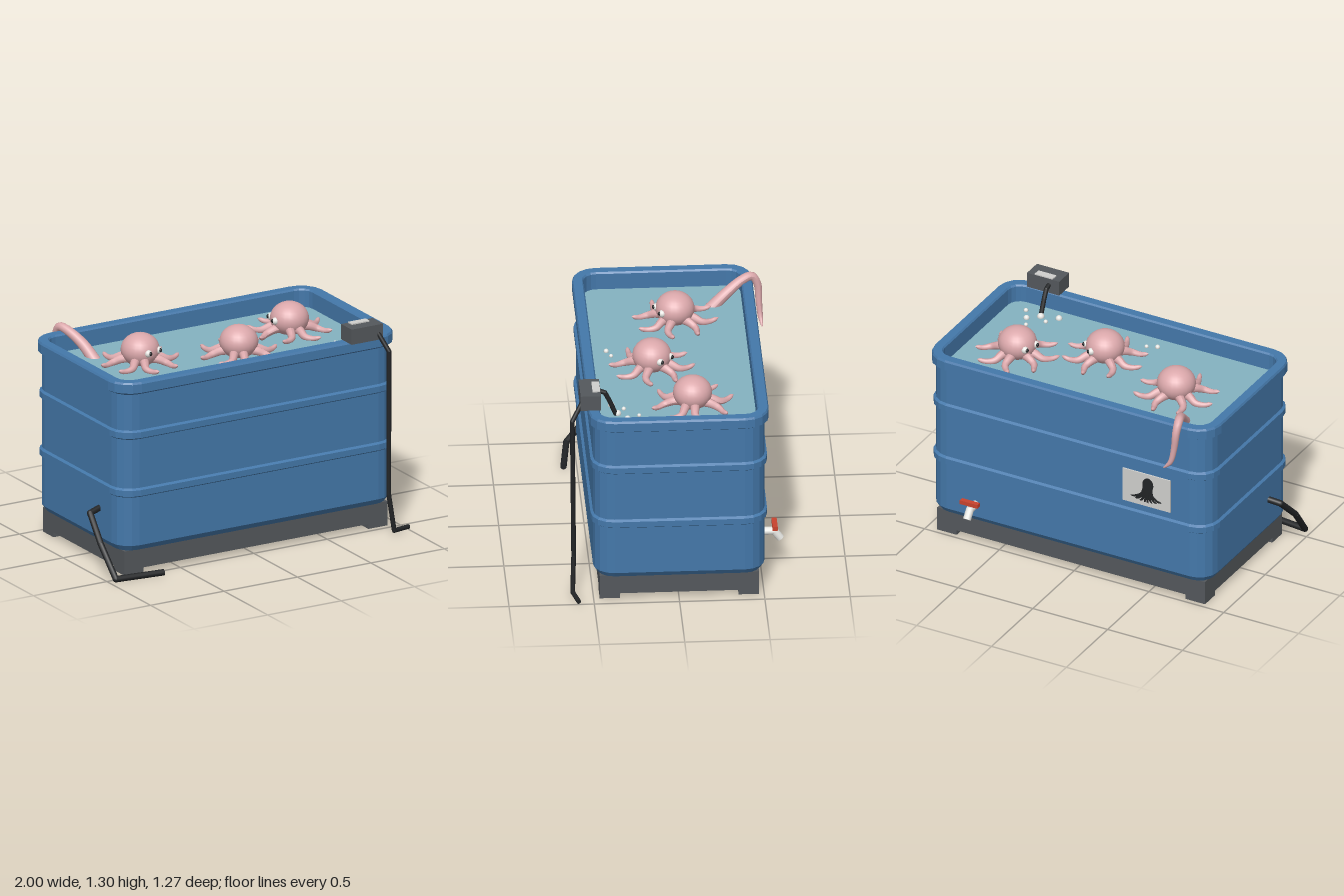
import * as THREE from 'three';

const mat = (name, color, double = false) => {
  const m = new THREE.MeshStandardMaterial({ color });
  m.name = name;
  if (double) m.side = THREE.DoubleSide;
  return m;
};
const V = (a) => new THREE.Vector3(...a);

// Rounded-rectangle loop, grown outward by `off` from the tank wall
function outline(off) {
  const hx = 0.9325 + off, hz = 0.5025 + off, r = Math.max(0.12 + off, 0), pts = [];
  const signs = [[1, 1], [-1, 1], [-1, -1], [1, -1]];
  signs.forEach(([sx, sz], q) => {
    for (let i = 0; i <= 4; i++) {
      const a = (q + i / 4) * Math.PI / 2;
      pts.push([sx * (hx - r) + r * Math.cos(a), sz * (hz - r) + r * Math.sin(a)]);
    }
  });
  return pts;
}

// Skin a profile of [offset, height] rows around the rounded rectangle
function loft(rows) {
  const pos = [], idx = [], n = 20;
  rows.forEach(([off, y]) => outline(off).forEach(([x, z]) => pos.push(x + 0.037, y, z - 0.004)));
  for (let k = 0; k < rows.length - 1; k++) {
    for (let i = 0; i < n; i++) {
      const a = k * n + i, b = k * n + (i + 1) % n;
      idx.push(a, a + n, b, b, a + n, b + n);
    }
  }
  const g = new THREE.BufferGeometry();
  g.setAttribute('position', new THREE.Float32BufferAttribute(pos, 3));
  g.setIndex(idx);
  const flat = g.toNonIndexed();
  flat.computeVertexNormals();
  return flat;
}

// Tube whose radius shrinks from r0 to r1 and closes at the tip
function taperTube(points, r0, r1, seg = 20, sides = 10) {
  const curve = new THREE.CatmullRomCurve3(points.map(V));
  const g = new THREE.TubeGeometry(curve, seg, 1, sides);
  const p = g.attributes.position, v = new THREE.Vector3();
  for (let i = 0; i <= seg; i++) {
    const t = i / seg, c = curve.getPointAt(t);
    const r = (r0 + (r1 - r0) * t) * Math.sqrt(Math.min(1, (1 - t) * 10));
    for (let j = 0; j <= sides; j++) {
      const k = i * (sides + 1) + j;
      v.fromBufferAttribute(p, k).sub(c).multiplyScalar(r).add(c);
      p.setXYZ(k, v.x, v.y, v.z);
    }
  }
  g.computeVertexNormals();
  return g;
}

export function createModel() {
  const root = new THREE.Group();
  root.name = 'octopusTank';
  const blue = mat('tankBlue', 0x4478aa, true);
  const water = mat('waterTeal', 0x84b2c0, true);
  const grey = mat('frameGrey', 0x54585c);
  const black = mat('hoseBlack', 0x222426);
  const skin = mat('octopusPink', 0xdba8ab);
  const white = mat('softWhite', 0xe6e6e2);
  const red = mat('handleRed', 0xc8432e);
  const plate = mat('plateGrey', 0xcfcfcd);

  const add = (name, geo, m, pos = [0, 0, 0], parent = root) => {
    const mesh = new THREE.Mesh(geo, m);
    mesh.name = name;
    mesh.position.set(...pos);
    parent.add(mesh);
    return mesh;
  };
  const box = (name, m, size, pos, parent) => add(name, new THREE.BoxGeometry(...size), m, pos, parent);
  const rod = (name, m, a, b, r, parent) => {
    const d = V(b).sub(V(a));
    const mesh = add(name, new THREE.CylinderGeometry(r, r, d.length(), 12), m,
      V(a).addScaledVector(d, 0.5).toArray(), parent);
    mesh.quaternion.setFromUnitVectors(new THREE.Vector3(0, 1, 0), d.normalize());
    return mesh;
  };
  // Bent hose: straight runs with ball joints
  const hose = (name, m, pts, r) => {
    const g = new THREE.Group();
    g.name = name;
    root.add(g);
    for (let i = 0; i < pts.length - 1; i++) {
      rod('run', m, pts[i], pts[i + 1], r, g);
      if (i) add('joint', new THREE.SphereGeometry(r, 12, 8), m, pts[i], g);
    }
  };

  // Tank: outer wall with two ribs and a rim, then the liner and its floor
  const rib = (y) => [[0, y - 0.028], [0.015, y - 0.018], [0.015, y + 0.018], [0, y + 0.028]];
  add('tank', loft([
    [-0.025, 0.15], [0, 0.185], ...rib(0.512), ...rib(0.87),
    [0, 1.12], [0.025, 1.135], [0.025, 1.188], [0.018, 1.2],
    [-0.034, 1.2], [-0.042, 1.19], [-0.042, 0.6], [-0.5025, 0.6],
  ]), blue);
  add('waterSurface', loft([[-0.042, 1.09], [-0.5025, 1.09]]), water);

  // Base frame and feet
  for (const s of [-1, 1]) {
    box('frameLongRail', grey, [1.79, 0.12, 0.03], [0.037, 0.09, -0.003 + s * 0.452]);
    box('frameShortRail', grey, [0.03, 0.12, 0.88], [0.037 + s * 0.88, 0.09, -0.003]);
    for (const t of [-1, 1]) {
      box('foot', grey, [0.13, 0.03, 0.12], [0.037 + s * 0.83, 0.015, -0.003 + t * 0.407]);
    }
  }

  // Air pump on the front rim, with its hoses
  box('pump', grey, [0.215, 0.094, 0.12], [0.7325, 1.247, 0.51]);
  box('pumpLabel', plate, [0.12, 0.008, 0.045], [0.73, 1.297, 0.475]);
  hose('airHose', black, [[0.695, 1.255, 0.46], [0.695, 1.24, 0.42], [0.695, 1.19, 0.395], [0.695, 1.07, 0.345]], 0.014);
  hose('pumpHose', black, [[0.81, 1.24, 0.56], [0.85, 1.135, 0.62], [0.852, 0.25, 0.612],
    [0.885, 0.022, 0.62], [1.0, 0.018, 0.59]], 0.014);
  hose('drainHose', black, [[-0.87, 0.365, 0.23], [-0.965, 0.345, 0.25],
    [-0.982, 0.2, 0.4], [-0.965, 0.022, 0.545], [-0.66, 0.022, 0.58]], 0.019);

  // Drain tap on the back
  hose('tapPipe', white, [[0.655, 0.268, -0.49], [0.655, 0.268, -0.575], [0.655, 0.218, -0.612]], 0.024);
  rod('tapStem', white, [0.655, 0.27, -0.578], [0.655, 0.305, -0.578], 0.01);
  box('tapHandle', red, [0.118, 0.025, 0.03], [0.655, 0.31, -0.578]);

  // Sign with an octopus pictogram on the back
  const sign = new THREE.Group();
  sign.name = 'sign';
  sign.position.set(-0.49, 0.692, -0.511);
  sign.rotation.y = Math.PI;
  root.add(sign);
  box('signPlate', plate, [0.32, 0.215, 0.009], [0, 0, 0], sign);
  const head = add('pictogramHead', new THREE.CylinderGeometry(0.036, 0.036, 0.006, 20), black, [0.012, 0.038, 0.006], sign);
  head.rotation.x = Math.PI / 2;
  head.scale.z = 1.25;
  for (let i = 0; i < 8; i++) {
    const s = (i - 3.5) / 3.5, end = -0.085 + 0.03 * Math.abs(s);
    const arm = add('pictogramArm', taperTube([[s * 0.018 + 0.01, 0.02, 0], [s * 0.035 + 0.005, -0.03, 0],
      [s * 0.075, end, 0], [s * 0.105, end - 0.004, 0]], 0.014, 0.006, 12, 6), black, [0, 0, 0.006], sign);
    arm.scale.z = 0.2;
  }

  // Three octopuses: [x, z], facing direction, first arm angle in degrees
  const octopuses = [
    [[-0.44, -0.06], [0.04, 0.115], 10],
    [[0.13, 0.11], [0.08, -0.085], 8],
    [[0.6, -0.1], [-0.124, -0.03], -11],
  ];
  for (const [[x, z], face, start] of octopuses) {
    const o = new THREE.Group();
    o.name = 'octopus';
    o.position.set(x, 0, z);
    root.add(o);
    add('head', new THREE.SphereGeometry(0.115, 24, 16), skin, [0, 1.175, 0], o).scale.y = 0.87;
    for (let i = 0; i < 8; i++) {
      const a = (start + i * 45) * Math.PI / 180, w = i % 2 ? 1 : -1;
      const at = (r, y, turn) => [r * Math.cos(a + turn * w), y, r * Math.sin(a + turn * w)];
      add('arm', taperTube([at(0.05, 1.13, 0), at(0.11, 1.125, -0.12), at(0.165, 1.105, -0.14),
        at(0.21, 1.1, 0), at(0.255, 1.115, 0.1)], 0.032, 0.011), skin, [0, 0, 0], o);
    }
    const f = new THREE.Vector2(...face).normalize();
    for (const s of [-1, 1]) {
      const ex = f.x * 0.1 - f.y * s * 0.045, ez = f.y * 0.1 + f.x * s * 0.045;
      add('eye', new THREE.SphereGeometry(0.022, 14, 10), white, [ex, 1.18, ez], o);
      add('pupil', new THREE.SphereGeometry(0.013, 12, 8), black, [ex + f.x * 0.014, 1.182, ez + f.y * 0.014], o);
    }
  }

  // Lone arm reaching over the back rim
  add('escapingArm', taperTube([[-0.615, 1.06, -0.27], [-0.645, 1.15, -0.37], [-0.69, 1.215, -0.47],
    [-0.712, 1.226, -0.525], [-0.715, 1.17, -0.56], [-0.705, 1.06, -0.568], [-0.685, 0.97, -0.576],
    [-0.64, 0.92, -0.585]], 0.038, 0.013, 40, 12), skin);

  // Bubbles on the water: x, z, radius
  const bubbles = [[0.585, 0.375, 0.02], [0.635, 0.305, 0.013], [0.72, 0.22, 0.012], [0.755, 0.29, 0.018],
    [0.8, 0.365, 0.014], [0.69, 0.345, 0.022], [-0.08, 0.365, 0.015], [-0.02, 0.34, 0.012]];
  for (const [x, z, r] of bubbles) add('bubble', new THREE.SphereGeometry(r, 12, 8), white, [x, 1.095, z]);

  return root;
}
